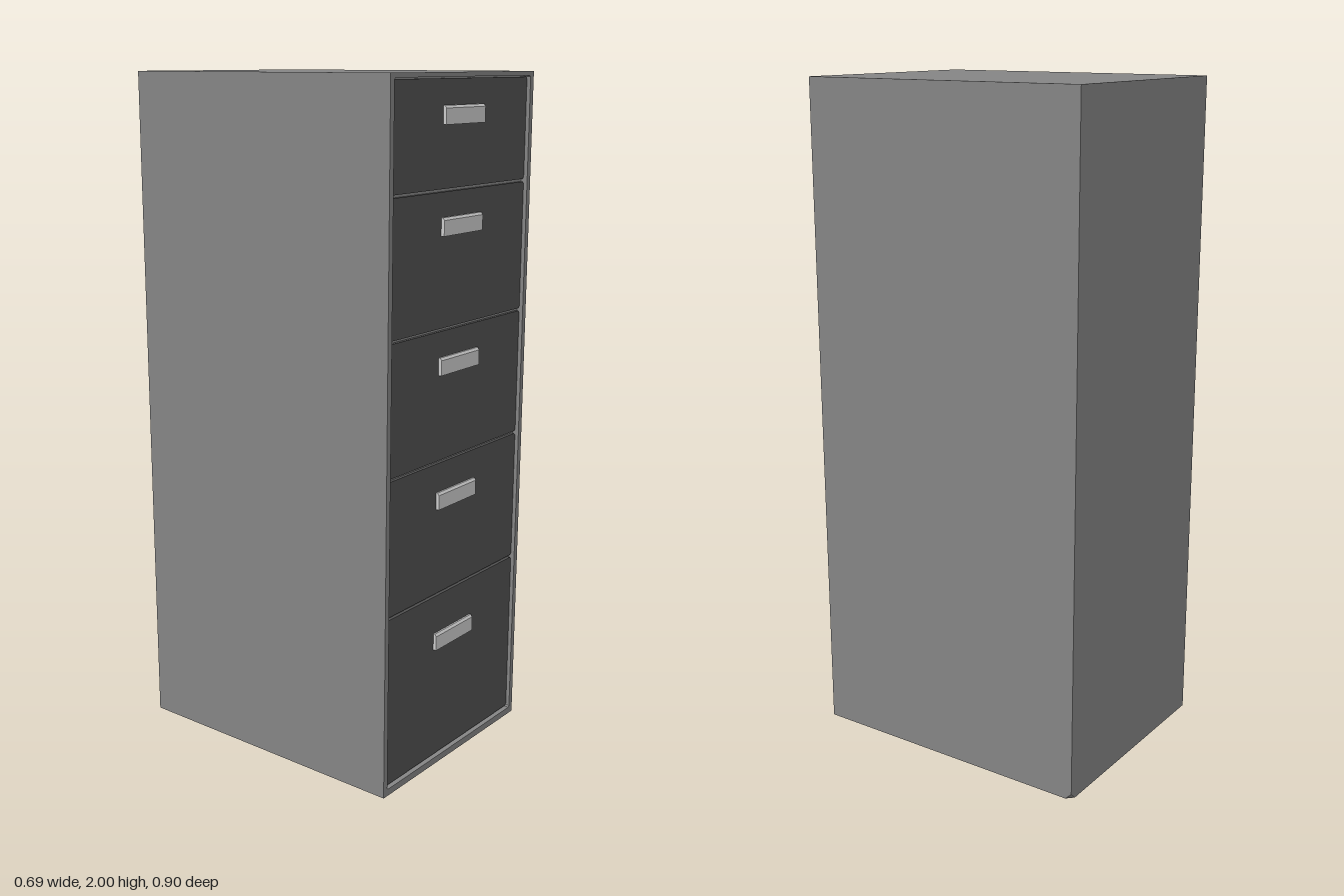
import * as THREE from 'three';
import { ConvexGeometry } from 'three/addons/geometries/ConvexGeometry.js';

const W = 0.345, D = 0.45, H = 2;
const RECESS_Z = 0.43;

function material(color) {
  return new THREE.MeshStandardMaterial({ color, flatShading: true });
}

function rectangle(PathType, x0, y0, x1, y1, r) {
  const p = new PathType();
  p.moveTo(x0 + r, y0);
  p.lineTo(x1 - r, y0);
  p.lineTo(x1, y0 + r);
  p.lineTo(x1, y1 - r);
  p.lineTo(x1 - r, y1);
  p.lineTo(x0 + r, y1);
  p.lineTo(x0, y1 - r);
  p.lineTo(x0, y0 + r);
  p.closePath();
  return p;
}

function addMesh(parent, name, geometry, mat) {
  const mesh = new THREE.Mesh(geometry, mat);
  mesh.name = name;
  parent.add(mesh);
  return mesh;
}

export function createModel() {
  const model = new THREE.Group();
  model.name = 'filingCabinet';
  const shellMat = material(0x848484);
  const drawerMat = material(0x505050);
  const handleMat = material(0xcccccc);

  // Closed body, with a small clipped corner at the lower rear
  const corners = [];
  for (const x of [-W, W]) for (const y of [0, H]) for (const z of [-D, RECESS_Z]) {
    if (x > 0 && y === 0 && z < 0) continue;
    corners.push(new THREE.Vector3(x, y, z));
  }
  const c = 0.02;
  corners.push(
    new THREE.Vector3(W - c, 0, -D),
    new THREE.Vector3(W, c, -D),
    new THREE.Vector3(W, 0, -D + c)
  );
  addMesh(model, 'body', new ConvexGeometry(corners), shellMat);

  // Raised rim around the drawer opening
  const rim = rectangle(THREE.Shape, -W, 0, W, H, 0);
  rim.holes.push(rectangle(THREE.Path, -0.328, 0.02, 0.328, 1.988, 0.004));
  const rimGeo = new THREE.ExtrudeGeometry(rim, { depth: D - RECESS_Z, bevelEnabled: false });
  rimGeo.translate(0, 0, RECESS_Z);
  addMesh(model, 'frontRim', rimGeo, shellMat);

  // Drawers: bottom, top and handle height
  const drawers = [
    [0.025, 0.530, 0.39],
    [0.538, 0.930, 0.82],
    [0.938, 1.308, 1.21],
    [1.316, 1.688, 1.595],
    [1.696, 1.984, 1.89]
  ];
  drawers.forEach(([y0, y1, handleY], i) => {
    const drawer = new THREE.Group();
    drawer.name = `drawer${i + 1}`;
    model.add(drawer);

    const panelGeo = new THREE.ExtrudeGeometry(
      rectangle(THREE.Shape, -0.325, y0, 0.325, y1, 0.006),
      { depth: 0.01, bevelEnabled: false }
    );
    panelGeo.translate(0, 0, RECESS_Z);
    addMesh(drawer, 'drawerFront', panelGeo, drawerMat);

    // Slim pull with a chamfered upper edge, extruded sideways
    const profile = new THREE.Shape([
      new THREE.Vector2(0, -0.025),
      new THREE.Vector2(0.012, -0.025),
      new THREE.Vector2(0.012, 0.018),
      new THREE.Vector2(0.007, 0.025),
      new THREE.Vector2(0, 0.025)
    ]);
    const pullGeo = new THREE.ExtrudeGeometry(profile, { depth: 0.19, bevelEnabled: false });
    pullGeo.translate(0, 0, -0.095);
    pullGeo.rotateY(-Math.PI / 2);
    const pull = addMesh(drawer, 'handle', pullGeo, handleMat);
    pull.position.set(0, handleY, 0.438);
  });

  return model;
}
